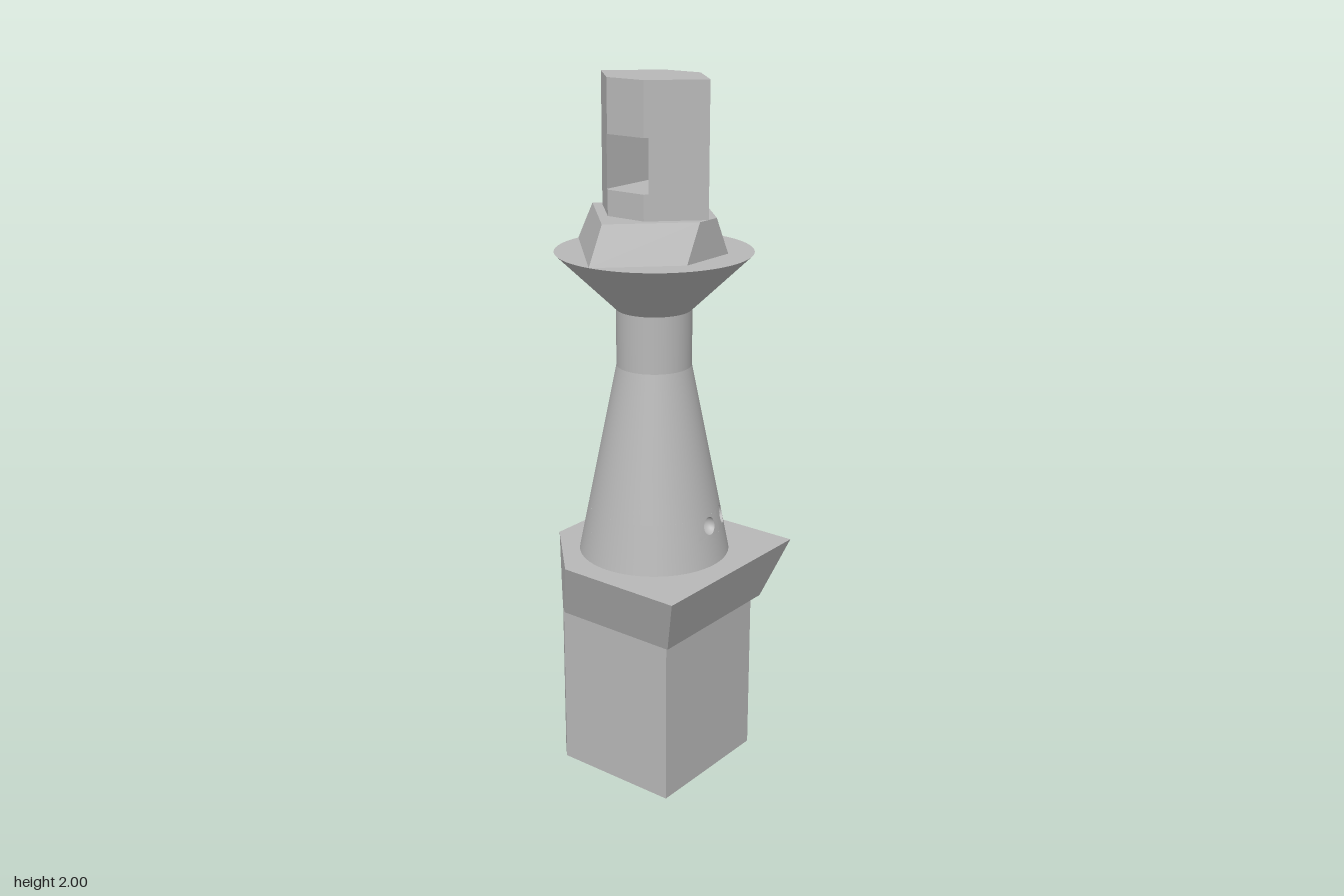
import * as THREE from 'three';

const grey = new THREE.MeshStandardMaterial({ color: 0xb8b8b8 });
grey.name = 'plain grey';

const RAD = Math.PI / 180;

function add(parent, name, geometry) {
  const mesh = new THREE.Mesh(geometry, grey);
  mesh.name = name;
  parent.add(mesh);
  return mesh;
}

// Flat-sided solid between two convex [x, z] outlines, anticlockwise from above
function loft(lower, y0, upper, y1) {
  const pos = [];
  const n = lower.length;
  const lo = (i) => [lower[i % n][0], y0, lower[i % n][1]];
  const hi = (i) => [upper[i % n][0], y1, upper[i % n][1]];
  for (let i = 0; i < n; i++) {
    pos.push(...lo(i), ...lo(i + 1), ...hi(i + 1), ...lo(i), ...hi(i + 1), ...hi(i));
    if (i > 0 && i < n - 1) {
      pos.push(...hi(0), ...hi(i), ...hi(i + 1), ...lo(0), ...lo(i + 1), ...lo(i));
    }
  }
  const g = new THREE.BufferGeometry();
  g.setAttribute('position', new THREE.Float32BufferAttribute(pos, 3));
  g.computeVertexNormals();
  return g;
}

// Square outline whose front right-hand corner is cut by one vertical plane
function cutSquare(h) {
  const k = 0.377 - h;
  return [[h, h], [h, -h], [-h, -h], [-h, k], [-k, h]];
}

// Diamond outline trimmed on its +x corner
function trimmedDiamond(r, x) {
  return [[x, r - x], [x, x - r], [0, -r], [-r, 0], [0, r]];
}

// Open round wall between two heights
function wall(r0, y0, r1, y1, start = 0, length = Math.PI * 2) {
  const g = new THREE.CylinderGeometry(r1, r0, y1 - y0, 72, 1, true, start, length);
  return g.translate(0, (y0 + y1) / 2, 0);
}

const coneRadius = (y) => 0.215 - 0.2 * (y - 0.665);

// Ring-shaped grid on the cone; at(t, v) gives [angle, y, depth]
function coneGrid(rows, at) {
  const n = 32, pos = [], index = [];
  for (let j = 0; j <= rows; j++) {
    for (let i = 0; i < n; i++) {
      const [a, y, depth] = at((i / n) * Math.PI * 2, j / rows);
      const r = coneRadius(y) - depth;
      pos.push(r * Math.sin(a), y, r * Math.cos(a));
      if (j < rows) {
        const p = j * n + i, q = j * n + ((i + 1) % n);
        index.push(p, q, q + n, p, q + n, p + n);
      }
    }
  }
  const g = new THREE.BufferGeometry();
  g.setAttribute('position', new THREE.Float32BufferAttribute(pos, 3));
  g.setIndex(index);
  g.computeVertexNormals();
  return g;
}

export function createModel() {
  const model = new THREE.Group();
  model.name = 'tower';

  // Square base with a round bore underneath
  const outline = new THREE.Shape(cutSquare(0.203).map(([x, z]) => new THREE.Vector2(x, -z)));
  const bore = new THREE.Path();
  bore.absarc(0, 0, 0.086, 0, Math.PI * 2, true);
  outline.holes.push(bore);
  const baseGeometry = new THREE.ExtrudeGeometry(outline, {
    depth: 0.49, bevelEnabled: false, curveSegments: 32,
  });
  add(model, 'base', baseGeometry.rotateX(-Math.PI / 2));

  // Flared collar
  add(model, 'collar', loft(cutSquare(0.222), 0.49, cutSquare(0.284), 0.665));

  // Tapered shaft, with a band that carries the row of small round holes
  const shaft = new THREE.Group();
  shaft.name = 'shaft';
  model.add(shaft);
  const holeY = 0.775, half = 0.03, cell = 14.5 * RAD, holeR = 0.025;
  const y0 = holeY - half, y1 = holeY + half;
  add(shaft, 'lowerShaft', wall(coneRadius(0.665), 0.665, coneRadius(y0), y0));
  add(shaft, 'bandBack', wall(coneRadius(y0), y0, coneRadius(y1), y1, 193.5 * RAD, 244 * RAD));
  add(shaft, 'upperShaft', wall(coneRadius(y1), y1, 0.105, 1.215));
  add(shaft, 'neck', wall(0.105, 1.215, 0.105, 1.375));
  for (let i = 0; i < 4; i++) {
    const centre = (92 + 29 * i) * RAD;
    const spread = holeR / coneRadius(holeY);
    add(shaft, 'holeSurround', coneGrid(3, (t, v) => {
      const c = Math.cos(t), s = Math.sin(t);
      const m = Math.max(Math.abs(c), Math.abs(s));
      return [
        centre + THREE.MathUtils.lerp((c / m) * cell, c * spread, v),
        holeY + THREE.MathUtils.lerp((s / m) * half, s * holeR, v),
        0,
      ];
    }));
    add(shaft, 'hole', coneGrid(8, (t, v) => {
      const k = Math.cos((v * Math.PI) / 2);
      return [
        centre + Math.cos(t) * spread * k,
        holeY + Math.sin(t) * holeR * k,
        holeR * Math.sin((v * Math.PI) / 2),
      ];
    }));
  }

  // Funnel-shaped platform
  add(model, 'platformFlare', wall(0.105, 1.375, 0.272, 1.535));
  const disc = new THREE.CircleGeometry(0.272, 72).rotateX(-Math.PI / 2);
  add(model, 'platformTop', disc.translate(0, 1.535, 0));

  // Sloping diamond plinth, trimmed flat on one side
  add(model, 'plinth',
    loft(trimmedDiamond(0.272, 0.181), 1.535, trimmedDiamond(0.218, 0.181), 1.64));

  // Six-sided head with a rectangular opening from front to back
  const head = new THREE.Group();
  head.name = 'head';
  model.add(head);
  const R = 0.182, c = 0.121, w = 0.07;
  const hex = [[R, 0], [R - c, -c], [c - R, -c], [-R, 0], [c - R, c], [R - c, c]];
  add(head, 'headBottom', loft(hex, 1.64, hex, 1.71));
  add(head, 'headTop', loft(hex, 1.855, hex, 2));
  const pillar = [[R, 0], [w, w - R], [w, R - w]];
  add(head, 'leftPillar', loft(pillar, 1.71, pillar, 1.855));
  add(head, 'rightPillar', loft(pillar, 1.71, pillar, 1.855)).rotation.y = Math.PI;

  return model;
}
